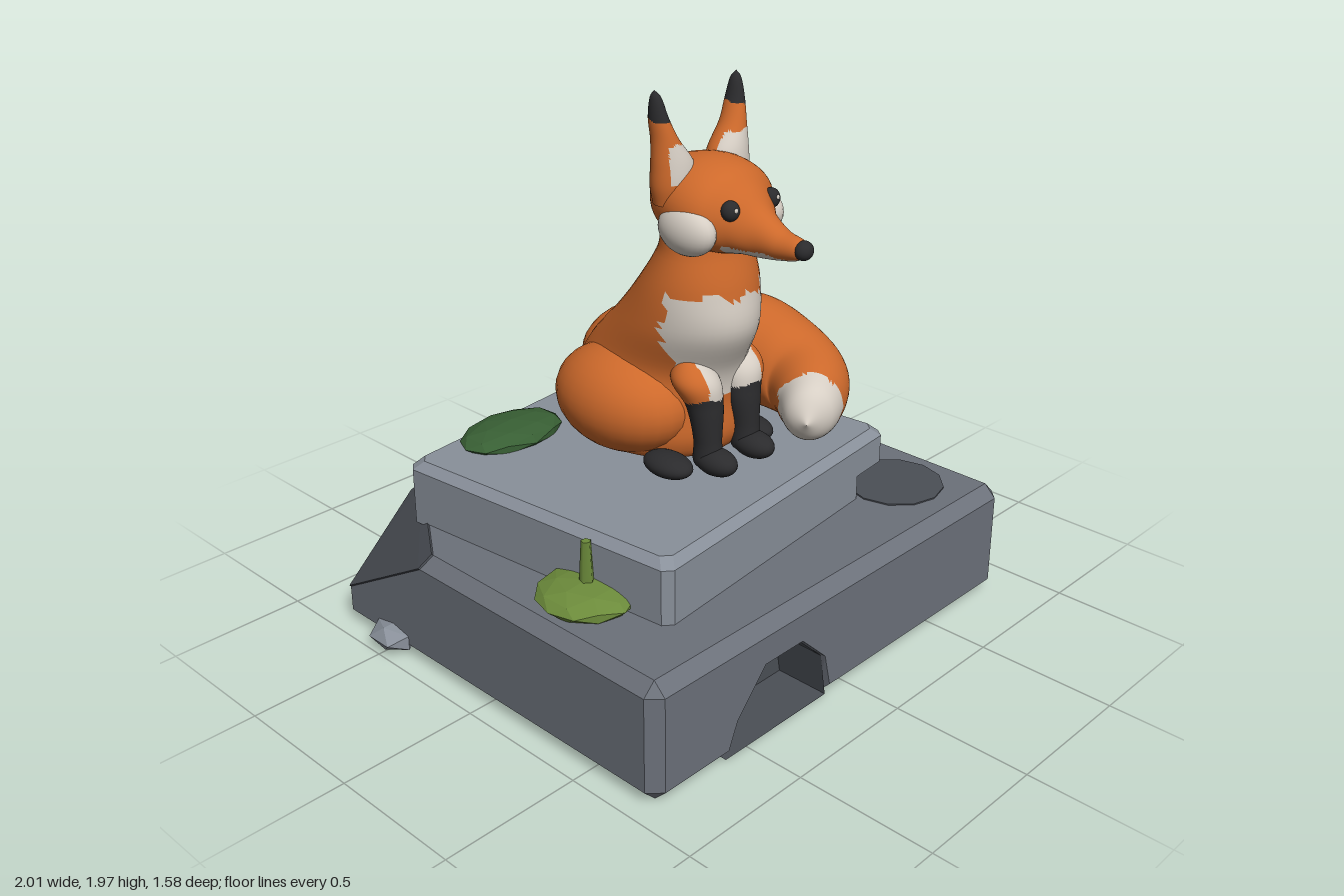
import * as THREE from 'three';
import { ConvexGeometry } from 'three/addons/geometries/ConvexGeometry.js';

const material = (name, color) => {
  const m = new THREE.MeshStandardMaterial({ color });
  m.name = name;
  return m;
};
const stone = material('stone', 0x6c717a);
const paleStone = material('pale stone', 0x89909a);
const darkStone = material('dark stone', 0x4b4f56);
const orange = material('orange fur', 0xcd692b);
const cream = material('cream fur', 0xd6cec4);
const black = material('black fur', 0x2b2b2d);
const moss = material('moss green', 0x6c8b3b);
const leafGreen = material('leaf green', 0x385f34);

const V = (x, y, z) => new THREE.Vector3(x, y, z);
const X = V(1, 0, 0), Y = V(0, 1, 0), BACK = V(0, 0, -1);

export function createModel() {
  const model = new THREE.Group();
  const add = (name, geometry, mat, x = 0, y = 0, z = 0, parent = model) => {
    const mesh = new THREE.Mesh(geometry, mat);
    mesh.name = name;
    mesh.position.set(x, y, z);
    parent.add(mesh);
    return mesh;
  };
  const group = (name) => {
    const g = new THREE.Group();
    g.name = name;
    model.add(g);
    return g;
  };
  // Smooth ellipsoid and faceted lump
  const ball = (name, mat, c, r, parent) =>
    add(name, new THREE.SphereGeometry(1, 28, 18), mat, ...c, parent).scale.set(...r);
  const lump = (name, mat, c, r, detail, parent) => {
    const g = new THREE.IcosahedronGeometry(1, detail);
    g.scale(...r);
    g.computeVertexNormals();
    return add(name, g, mat, ...c, parent);
  };
  // Thin plate spanned by points and their offset copies
  const plate = (points, offset) =>
    new ConvexGeometry(points.flatMap((p) => [p, p.clone().add(offset)]));

  const base = group('stoneBase');
  buildBase(base, add, plate);
  buildSlab(group('upperSlab'), add, plate);

  // Pebbles and plants
  lump('leftPebble', paleStone, [0.915, 0.068, 0.565], [0.092, 0.066, 0.11], 1, base);
  lump('rightPebble', paleStone, [-0.93, 0.05, -0.5], [0.08, 0.052, 0.1], 0, base);
  const plants = group('plants');
  lump('leftMoss', moss, [0.62, 0.45, -0.19], [0.155, 0.05, 0.2], 1, plants);
  lump('rightMoss', moss, [-0.71, 0.45, 0.27], [0.17, 0.05, 0.175], 1, plants);
  lump('fallenLeaf', leafGreen, [-0.39, 0.665, -0.46], [0.21, 0.048, 0.135], 1, plants);
  for (const [x, z] of [[0.61, -0.15], [-0.71, 0.27]])
    add('mossStalk', new THREE.CylinderGeometry(0.017, 0.028, 0.18, 5), moss, x, 0.55, z, plants);

  buildFox(group('fox'), add, ball);
  return model;
}

function buildBase(base, add, plate) {
  const x0 = -0.93, x1 = 0.88, top = 0.43, c = 0.045, seam = 0.57;
  const notch = [[-0.6, 0], [-0.56, 0.14], [-0.43, 0.285], [-0.25, 0.285], [-0.13, 0.17], [-0.1, 0]];
  const upper = [[x1 - c, 0], [x1, c], [x1, top - c], [x1 - c, top],
    [x0 + c, top], [x0, top - c], [x0, c]];
  const toShape = (pts) => new THREE.Shape(pts.map((p) => new THREE.Vector2(...p)));

  // Front part with the arched recess; the front rim is chamfered
  const front = new THREE.ExtrudeGeometry(toShape([[x0 + c, 0], ...notch, ...upper]),
    { depth: 0.22, steps: 2, bevelEnabled: false });
  const p = front.attributes.position;
  for (let i = 0; i < p.count; i++) {
    const z = p.getZ(i);
    if (z > 0.2) {
      p.setX(i, THREE.MathUtils.clamp(p.getX(i), x0 + c, x1 - c));
      p.setY(i, THREE.MathUtils.clamp(p.getY(i), c, top - c));
    } else if (z > 0.05) p.setZ(i, 0.22 - c);
  }
  front.computeVertexNormals();
  add('baseFront', front, stone, 0, 0, seam, base);
  const lining = inward(new THREE.ExtrudeGeometry(
    toShape(notch.map(([x, y]) => [-0.35 + (x + 0.35) * 0.985, y * 0.985])),
    { depth: 0.2, bevelEnabled: false }));
  add('archRecess', lining, darkStone, 0, 0, seam + 0.004, base);

  // Rear part with a broken back corner
  const broken = [V(-0.58, top, -0.745), V(-0.6, top - c, -0.79), V(x0, top - c, -0.32),
    V(x0 + c, top, -0.3), V(x0, 0.14, -0.745), V(x0 + c, 0.12, -0.79)];
  const rear = [...broken];
  for (const [x, y] of [[x0 + c, 0], ...upper]) {
    rear.push(V(x, y, seam));
    if (!(x < 0 && y > 0.2)) rear.push(V(x, y, -0.79 + c));
  }
  rear.push(V(x0 + c, c, -0.79), V(x1 - c, c, -0.79), V(x1 - c, top - c, -0.79));
  add('baseRear', new ConvexGeometry(rear), stone, 0, 0, 0, base);
  add('brokenCorner', plate(broken, V(-0.004, 0.004, -0.004)), darkStone, 0, 0, 0, base);
  add('roundHollow', new THREE.CylinderGeometry(0.18, 0.18, 0.006, 12), darkStone,
    0.61, top + 0.002, 0.5, base);
}

function buildSlab(slab, add, plate) {
  slab.position.set(-0.09, 0, -0.055);
  slab.rotation.y = 0.1;
  const w = 0.63, d = 0.58, c = 0.03, r = 0.18;
  const ring = (y, inset) => {
    const a = w - inset, b = d - inset;
    return [-1, 1].flatMap((s) => [-1, 1].flatMap((t) =>
      [V(s * (a - c), y, t * b), V(s * a, y, t * (b - c))]));
  };
  add('slabTop', new ConvexGeometry([...ring(0.52, 0), ...ring(0.625, 0), ...ring(0.655, c)]),
    paleStone, 0, 0, 0, slab);

  // Lower layer with a round bite under one corner
  const outline = [[-w + c, -d], [w - c, -d], [w, -d + c]];
  for (let k = 0; k <= 4; k++) {
    const a = Math.PI + (k * Math.PI) / 8;
    outline.push([w + r * Math.sin(a), d + r * Math.cos(a)]);
  }
  outline.push([-w + c, d], [-w, d - c], [-w, -d + c]);
  const lower = new THREE.ExtrudeGeometry(
    new THREE.Shape(outline.map((q) => new THREE.Vector2(...q))), { depth: 0.1, bevelEnabled: false });
  lower.rotateX(Math.PI / 2);
  add('slabBottom', lower, paleStone, 0, 0.52, 0, slab);
  add('biteWall', inward(new THREE.CylinderGeometry(r - 0.003, r - 0.003, 0.09, 4, 1, true,
    Math.PI, Math.PI / 2)), darkStone, w, 0.475, d, slab);

  // Dark chipped back corner with a thin shard
  add('chippedCorner', plate([V(w, 0.43, -d + c), V(w, 0.63, -d + c), V(w, 0.6, -0.44),
    V(w, 0.43, -0.41)], V(0.005, 0, 0)), darkStone, 0, 0, 0, slab);
  add('cornerShard', plate([V(w - c, 0.43, -d), V(w - c, 0.64, -d), V(w, 0.62, -d),
    V(0.87, 0.43, -0.61)], V(0, 0, -0.008)), darkStone, 0, 0, 0, slab);
}

function buildFox(fox, add, ball) {
  const mid = -0.03;
  const jag = (c) => 0.012 * Math.sin(c.x * 55 + c.y * 31) + 0.01 * Math.sin(c.y * 83 - c.z * 47);
  const part = (name, sections, mode, mats, rule) =>
    add(name, rule ? paint(loft(sections, mode), rule) : loft(sections, mode), mats, 0, 0, 0, fox);

  // Torso and neck with the chest bib
  part('torso', [[0, 0.655, -0.1, 0, 0], [0, 0.665, -0.1, 0.22, 0.25], [0.02, 0.74, -0.1, 0.3, 0.33],
    [0.02, 0.88, -0.1, 0.29, 0.33], [0, 1, -0.06, 0.23, 0.31], [-0.025, 1.16, 0.06, 0.21, 0.268],
    [-0.025, 1.3, 0.115, 0.2, 0.205], [-0.025, 1.42, 0.14, 0.17, 0.15],
    [-0.025, 1.52, 0.14, 0.14, 0.12], [-0.025, 1.6, 0.14, 0, 0]], 'up', [orange, cream],
  (c) => (c.y > 0.9 && c.y < 1.3 + jag(c) &&
    c.z > 0.14 + Math.max(0, 1.12 - c.y) * 0.25 + jag(c) ? 1 : 0));
  ball('rump', orange, [0.18, 0.84, -0.34], [0.25, 0.185, 0.24], fox);
  ball('rightHaunch', orange, [-0.16, 0.845, -0.11], [0.21, 0.19, 0.28], fox);
  ball('leftHaunch', orange, [0.14, 0.845, -0.06], [0.18, 0.18, 0.25], fox);

  // Tail curling forward to a cream tip
  part('tail', [[0.2, 0.83, -0.42, 0, 0], [0.24, 0.83, -0.35, 0.17, 0.16],
    [0.36, 0.84, -0.22, 0.19, 0.18], [0.45, 0.855, -0.08, 0.2, 0.2], [0.46, 0.835, 0.09, 0.18, 0.18],
    [0.43, 0.81, 0.22, 0.155, 0.155], [0.33, 0.79, 0.32, 0.12, 0.13], [0.24, 0.785, 0.38, 0.08, 0.09],
    [0.19, 0.78, 0.42, 0, 0]], 'path', [orange, cream],
  (c) => (c.z > 0.2 && c.x < 0.25 + 0.73 * (c.z - 0.25) + jag(c) ? 1 : 0));

  // Legs and paws
  for (const [s, side] of [[1, 'left'], [-1, 'right']]) {
    const x = -0.02 + s * 0.095;
    part(side + 'FrontLeg', [[x, 0.67, 0.24, 0, 0], [x, 0.69, 0.24, 0.045, 0.05],
      [x, 0.78, 0.24, 0.048, 0.05], [x, 0.9, 0.225, 0.066, 0.062], [x + s * 0.015, 1, 0.19, 0.08, 0.08],
      [x + s * 0.02, 1.1, 0.16, 0, 0]], 'up', [black, orange, cream],
    (c) => (c.y < 0.93 + jag(c) * 0.5 ? 0 : s * (c.x - x) > 0.035 ? 1 : 2));
    ball(side + 'FrontPaw', black, [x, 0.705, 0.28], [0.056, 0.048, 0.085], fox);
    ball(side + 'HindPaw', black, [mid + s * 0.205, 0.7, 0.17], [0.065, 0.042, 0.1], fox);
  }

  // Head tapering into the muzzle
  part('head', [[mid, 1.6, -0.025, 0, 0], [mid, 1.6, -0.01, 0.09, 0.085], [mid, 1.595, 0.06, 0.165, 0.13],
    [mid, 1.588, 0.17, 0.2, 0.153], [mid, 1.577, 0.27, 0.185, 0.142], [mid, 1.555, 0.34, 0.12, 0.11],
    [mid, 1.525, 0.4, 0.072, 0.08], [mid, 1.505, 0.48, 0.05, 0.05], [mid, 1.505, 0.55, 0.033, 0.033],
    [mid, 1.505, 0.57, 0, 0]], 'forward', [orange, cream],
  (c) => (c.z > 0.31 && c.y < 1.478 + jag(c) * 0.4 ? 1 : 0));
  ball('nose', black, [mid, 1.507, 0.563], [0.034, 0.032, 0.03], fox);

  for (const [s, side] of [[1, 'left'], [-1, 'right']]) {
    ball(side + 'Cheek', cream, [mid + s * 0.162, 1.533, 0.215], [0.063, 0.085, 0.115], fox);
    ball(side + 'Eye', black, [mid + s * 0.097, 1.608, 0.34], [0.032, 0.034, 0.03], fox);
    ball(side + 'EyeGlint', cream, [mid + s * 0.1, 1.615, 0.367], [0.008, 0.008, 0.005], fox);
    const e = (off) => mid + s * off;
    part(side + 'Ear', [[e(0.12), 1.6, 0.12, 0.08, 0.06], [e(0.125), 1.66, 0.12, 0.085, 0.068],
      [e(0.132), 1.73, 0.12, 0.076, 0.062], [e(0.16), 1.81, 0.115, 0.044, 0.047],
      [e(0.178), 1.88, 0.106, 0.029, 0.037], [e(0.186), 1.945, 0.102, 0.017, 0.02],
      [e(0.19), 1.97, 0.1, 0, 0]], 'up', [orange, cream, black],
    (c) => (c.y > 1.87 + jag(c) * 0.5 ? 2
      : c.z > 0.135 && c.y > 1.67 && c.y < 1.79 + jag(c) && s * (c.x - e(0.14)) < 0.045 ? 1 : 0));
  }
}

// Smooth skin over elliptical sections [x, y, z, radius, radius]
function loft(sections, mode, rows = 56, cols = 48) {
  const path = new THREE.CatmullRomCurve3(sections.map((s) => V(s[0], s[1], s[2])), false, 'catmullrom');
  const radii = new THREE.CatmullRomCurve3(sections.map((s) => V(s[3], s[4], 0)), false, 'catmullrom');
  const pos = [], index = [];
  for (let i = 0; i <= rows; i++) {
    const c = path.getPoint(i / rows), r = radii.getPoint(i / rows);
    const u = mode === 'path' ? Y.clone().cross(path.getTangent(i / rows)).normalize() : X;
    const v = mode === 'up' ? BACK : Y;
    for (let j = 0; j < cols; j++) {
      const a = (j / cols) * Math.PI * 2;
      const q = c.clone().addScaledVector(u, Math.max(r.x, 0.0005) * Math.cos(a))
        .addScaledVector(v, Math.max(r.y, 0.0005) * Math.sin(a));
      pos.push(q.x, q.y, q.z);
      if (i === rows) continue;
      const k = i * cols + j, n = i * cols + ((j + 1) % cols);
      index.push(k, n, k + cols, n, n + cols, k + cols);
    }
  }
  const g = new THREE.BufferGeometry();
  g.setAttribute('position', new THREE.Float32BufferAttribute(pos, 3));
  g.setIndex(index);
  g.computeVertexNormals();
  return g;
}

// Sort triangles into material groups by a rule on their centres
function paint(g, rule) {
  const p = g.attributes.position, old = g.index.array, buckets = [[], [], []];
  for (let i = 0; i < old.length; i += 3) {
    const tri = [old[i], old[i + 1], old[i + 2]], c = V(0, 0, 0);
    for (const k of tri) c.add(V(p.getX(k), p.getY(k), p.getZ(k)).divideScalar(3));
    buckets[rule(c)].push(...tri);
  }
  g.setIndex(buckets.flat());
  let start = 0;
  buckets.forEach((b, m) => {
    if (b.length) g.addGroup(start, b.length, m);
    start += b.length;
  });
  return g;
}

// Turn a geometry inside out, for the walls of hollows
function inward(source) {
  const g = source.index ? source.toNonIndexed() : source;
  const p = g.attributes.position, a = V(0, 0, 0), b = V(0, 0, 0);
  for (let i = 0; i < p.count; i += 3) {
    a.fromBufferAttribute(p, i);
    b.fromBufferAttribute(p, i + 1);
    p.setXYZ(i, b.x, b.y, b.z);
    p.setXYZ(i + 1, a.x, a.y, a.z);
  }
  g.clearGroups();
  g.computeVertexNormals();
  return g;
}
